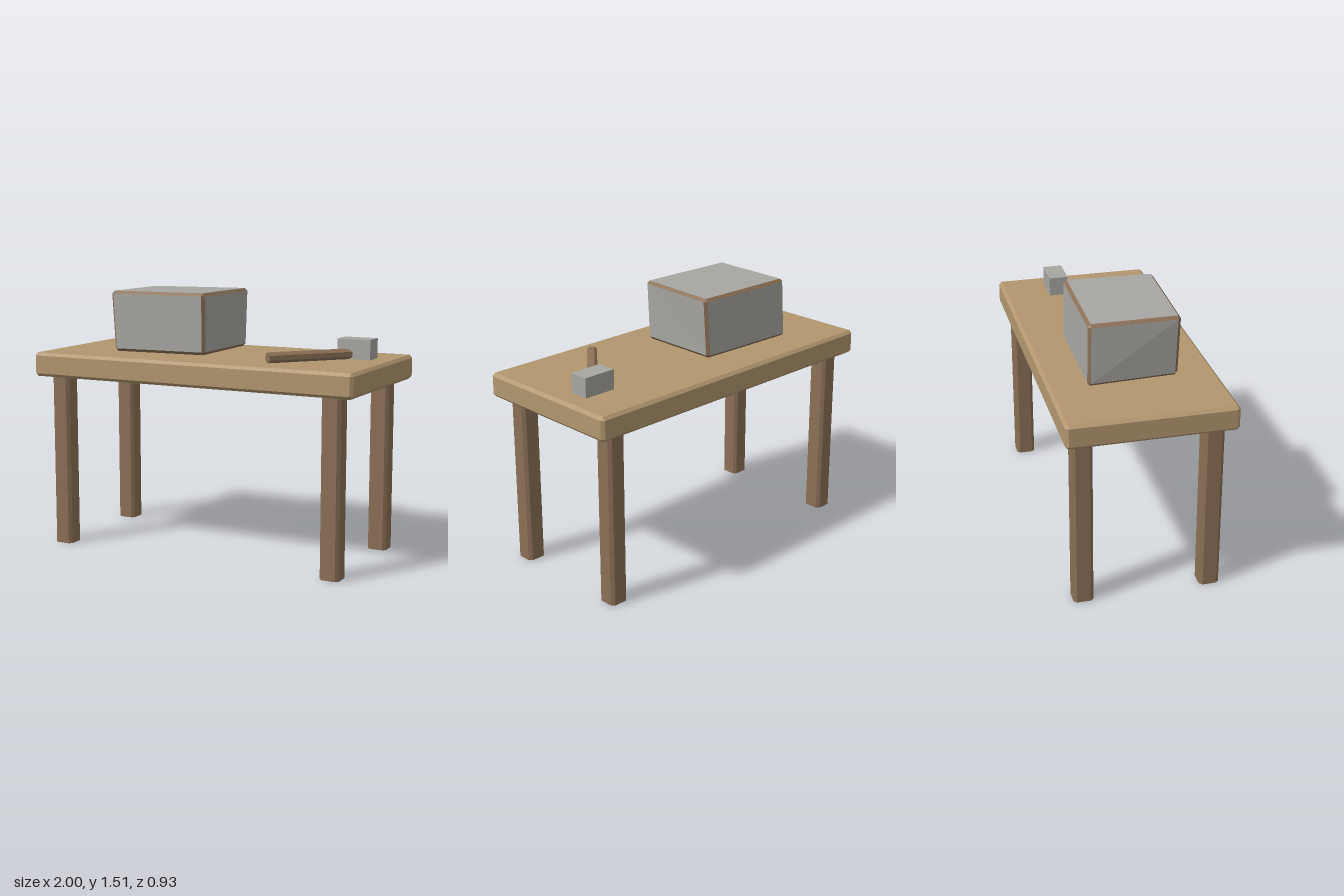
import * as THREE from 'three';

const material = (name, color) => {
  const m = new THREE.MeshStandardMaterial({ color });
  m.name = name;
  return m;
};

// Six-sided block from 8 corners (x fastest, then y, then z) with chamfered edges.
// Group 0 holds the flat faces, group 1 the chamfers.
function chamferedBlock(corners, cut) {
  const pts = corners.map((c) => new THREE.Vector3(...c));
  const size = pts[7].clone().sub(pts[0]);
  const inset = size.toArray().map((s) => 1 - (2 * cut) / Math.abs(s));
  const centre = pts.reduce((s, p) => s.add(p), new THREE.Vector3()).divideScalar(8);

  // Corner point belonging to the face across the given axis
  const at = (sign, axis) => {
    const p = new THREE.Vector3();
    const u = sign.map((s, i) => (i === axis ? s : s * inset[i]));
    pts.forEach((c, i) => {
      let w = 1;
      for (let k = 0; k < 3; k++) w *= ((i >> k) & 1 ? 1 + u[k] : 1 - u[k]) / 2;
      p.addScaledVector(c, w);
    });
    return p;
  };

  const pos = [];
  const tri = (a, b, c) => {
    const n = b.clone().sub(a).cross(c.clone().sub(a));
    const outward = n.dot(a.clone().sub(centre)) > 0;
    for (const p of outward ? [a, b, c] : [a, c, b]) pos.push(p.x, p.y, p.z);
  };
  const quad = (a, b, c, d) => { tri(a, b, c); tri(a, c, d); };
  const sign = (a, sa, b, sb, c, sc) => {
    const s = [0, 0, 0];
    s[a] = sa; s[b] = sb; s[c] = sc;
    return s;
  };

  for (let a = 0; a < 3; a++) {
    const b = (a + 1) % 3, c = (a + 2) % 3;
    for (const s of [-1, 1]) {
      quad(...[[-1, -1], [1, -1], [1, 1], [-1, 1]].map(([p, q]) => at(sign(a, s, b, p, c, q), a)));
    }
  }
  const faceCount = pos.length / 3;
  for (let a = 0; a < 3; a++) {
    const b = (a + 1) % 3, c = (a + 2) % 3;
    for (const p of [-1, 1]) for (const q of [-1, 1]) {
      const lo = sign(a, -1, b, p, c, q), hi = sign(a, 1, b, p, c, q);
      quad(at(lo, b), at(hi, b), at(hi, c), at(lo, c));
    }
  }
  for (let i = 0; i < 8; i++) {
    const s = [0, 1, 2].map((k) => ((i >> k) & 1 ? 1 : -1));
    tri(at(s, 0), at(s, 1), at(s, 2));
  }

  const g = new THREE.BufferGeometry();
  g.setAttribute('position', new THREE.Float32BufferAttribute(pos, 3));
  g.addGroup(0, faceCount, 0);
  g.addGroup(faceCount, pos.length / 3 - faceCount, 1);
  g.computeVertexNormals();
  return g;
}

// Square bar along +z with its four long edges cut
function chamferedBar(width, cut, length) {
  const h = width / 2, k = h - cut;
  const outline = [[k, -h], [h, -k], [h, k], [k, h], [-k, h], [-h, k], [-h, -k], [-k, -h]];
  const shape = new THREE.Shape(outline.map(([x, y]) => new THREE.Vector2(x, y)));
  return new THREE.ExtrudeGeometry(shape, { depth: length, bevelEnabled: false });
}

export function createModel() {
  const model = new THREE.Group();
  model.name = 'workbench';
  const tan = material('lightWood', 0xb2976f);
  const brown = material('darkWood', 0x8b7056);
  const grey = material('greyMetal', 0xa8a6a1);

  const add = (name, geometry, mat, parent = model) => {
    const mesh = new THREE.Mesh(geometry, mat);
    mesh.name = name;
    parent.add(mesh);
    return mesh;
  };

  // Table top
  const topCorners = [];
  for (const z of [-0.465, 0.465]) for (const y of [1.003, 1.142]) for (const x of [-1, 1]) topCorners.push([x, y, z]);
  add('tableTop', chamferedBlock(topCorners, 0.017), [tan, tan]);

  // Four legs
  const legGeometry = chamferedBar(0.112, 0.017, 1.005).rotateX(-Math.PI / 2);
  for (const sx of [1, -1]) for (const sz of [1, -1]) {
    const leg = add(`${sz > 0 ? 'front' : 'back'}${sx > 0 ? 'Left' : 'Right'}Leg`, legGeometry, brown);
    leg.position.set(sx * 0.857, 0, sz * 0.358);
  }

  // Slightly crooked case with grey panels and wooden edges
  add('case', chamferedBlock([
    [-0.615, 1.152, -0.26], [0.03, 1.163, -0.257], [-0.6, 1.5, -0.252], [0.047, 1.508, -0.248],
    [-0.582, 1.15, 0.245], [0.015, 1.157, 0.252], [-0.6, 1.502, 0.253], [0.02, 1.508, 0.265],
  ], 0.017), [grey, brown]);

  // Hammer lying on the table
  const hammer = new THREE.Group();
  hammer.name = 'hammer';
  model.add(hammer);
  const start = new THREE.Vector3(0.425, 1.172, 0.28);
  const end = new THREE.Vector3(0.775, 1.172, -0.13);
  const handle = add('hammerHandle', chamferedBar(0.057, 0.015, start.distanceTo(end)), brown, hammer);
  handle.position.copy(start);
  handle.lookAt(end);
  const head = add('hammerHead', new THREE.BoxGeometry(0.197, 0.113, 0.113), grey, hammer);
  head.position.set(0.783, 1.2, -0.143);

  return model;
}
